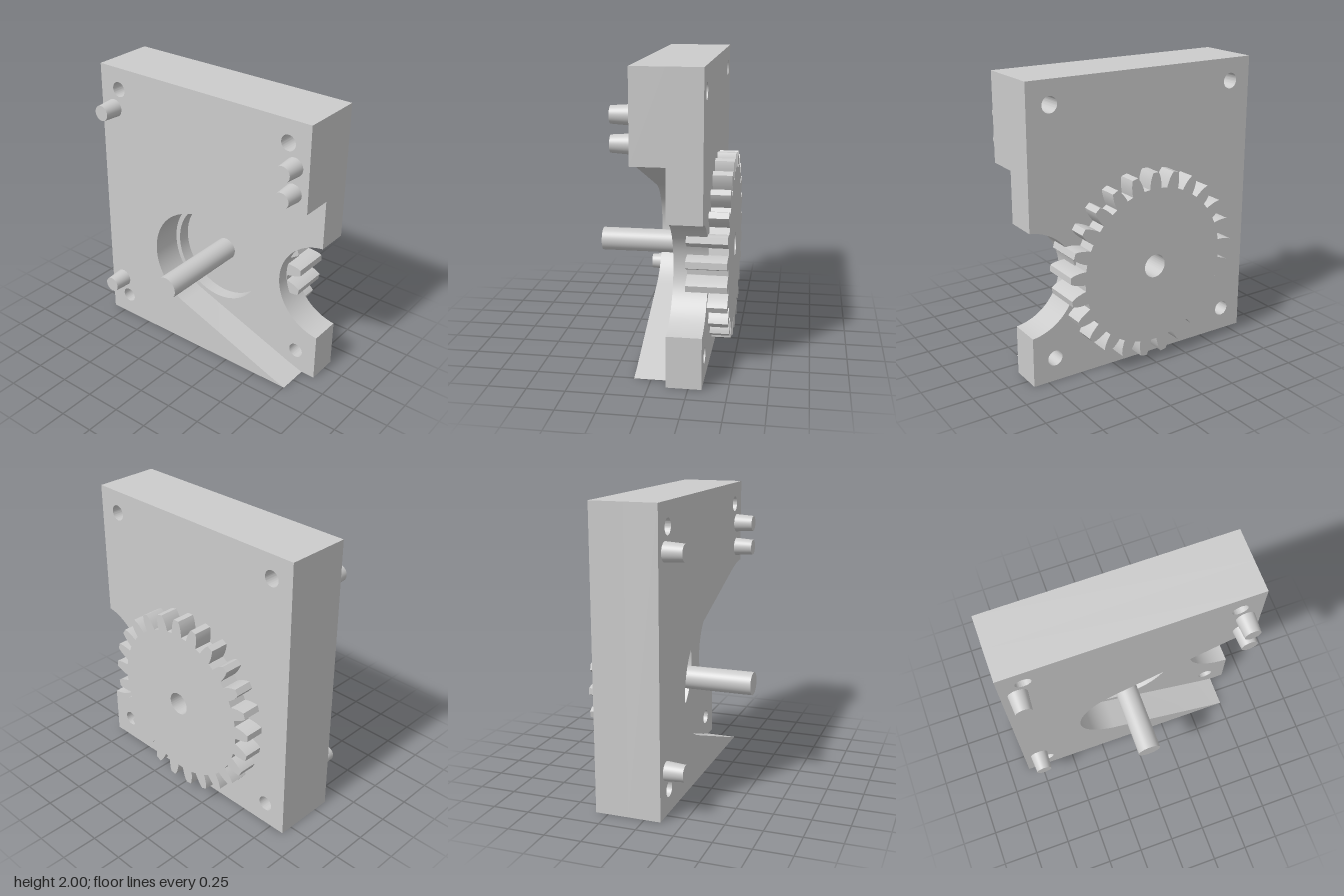
import * as THREE from 'three';
import { toCreasedNormals } from 'three/addons/utils/BufferGeometryUtils.js';

const HALF_W = 0.855, HEIGHT = 2, AXIS_Y = 0.7;
const FRONT = 0.11, STEP = -0.11, BACK = -0.335;     // z levels of the housing
const GEAR_FRONT = -0.2, GEAR_BACK = -0.465, SHAFT_TIP = 0.465;
const MATE_X = 0.89;                                 // centre of the open side recess

const material = new THREE.MeshStandardMaterial({ color: 0xcccccc });

function addMesh(parent, name, geometry) {
  const mesh = new THREE.Mesh(geometry, material);
  mesh.name = name;
  parent.add(mesh);
  return mesh;
}

function slab(shape, zBack, zFront) {
  const g = new THREE.ExtrudeGeometry(shape, {
    depth: zFront - zBack, bevelEnabled: false, curveSegments: 40,
  });
  g.translate(0, 0, zBack);
  return toCreasedNormals(g, 0.35);
}

function addHole(shape, x, y, r) {
  shape.holes.push(new THREE.Path().absarc(x, y, r, 0, Math.PI * 2, true));
}

// Cylinder along z from the back radius to the front radius
function rod(rBack, rFront, zBack, zFront) {
  const g = new THREE.CylinderGeometry(rFront, rBack, zFront - zBack, 40);
  g.rotateX(Math.PI / 2);
  return g.translate(0, 0, (zBack + zFront) / 2);
}

// Front layer, cut by a flared recess that opens on the +x side
function frontLayer() {
  const r = 0.395, R = 0.708;
  const tilt = Math.asin((R - r) / MATE_X);
  const a = Math.PI / 2 + tilt;                      // tangent direction on both arcs
  const s = new THREE.Shape();
  s.moveTo(-HALF_W, 0);
  s.lineTo(0.755, 0);
  s.lineTo(MATE_X + R * Math.cos(a), AXIS_Y - R * Math.sin(a));
  s.absarc(0, AXIS_Y, r, -a, a - Math.PI * 2, true);
  s.absarc(MATE_X, AXIS_Y, R, a, Math.acos((HALF_W - MATE_X) / R), true);
  s.lineTo(HALF_W, HEIGHT);
  s.lineTo(-HALF_W, HEIGHT);
  s.closePath();
  for (const [x, y] of [[-0.695, 0.163], [-0.695, 1.845], [0.695, 1.845]]) addHole(s, x, y, 0.053);
  return slab(s, STEP, FRONT);
}

// Back layer with the round side notch and the round well
function backLayer() {
  const r = 0.36, a = Math.acos((HALF_W - MATE_X) / r);
  const s = new THREE.Shape();
  s.moveTo(-HALF_W, 0);
  s.lineTo(HALF_W, 0);
  s.absarc(MATE_X, AXIS_Y, r, -a, a - Math.PI * 2, true);
  s.lineTo(HALF_W, HEIGHT);
  s.lineTo(-HALF_W, HEIGHT);
  s.closePath();
  for (const x of [-0.695, 0.695]) for (const y of [0.163, 1.845]) addHole(s, x, y, 0.053);
  addHole(s, 0, AXIS_Y, r);
  return slab(s, BACK, STEP);
}

// Spur gear: each tooth is a rounded flank profile mirrored about its centre line
function gear() {
  const teeth = 25, pitch = (Math.PI * 2) / teeth;
  const flank = [[0.537, 4.8], [0.56, 4.5], [0.597, 3.7], [0.625, 2.8], [0.645, 1.9]];
  const profile = [
    ...flank.map(([r, d]) => [r, -d]),
    ...flank.slice().reverse(),
  ];
  const points = [];
  for (let i = 0; i < teeth; i++) {
    for (const [r, d] of profile) {
      const t = Math.PI / 2 + i * pitch + THREE.MathUtils.degToRad(d);
      points.push(new THREE.Vector2(r * Math.cos(t), AXIS_Y + r * Math.sin(t)));
    }
  }
  const s = new THREE.Shape(points);
  addHole(s, 0, AXIS_Y, 0.08);
  return slab(s, GEAR_BACK, GEAR_FRONT);
}

export function createModel() {
  const model = new THREE.Group();
  model.name = 'gearHousing';

  const housing = new THREE.Group();
  housing.name = 'housing';
  model.add(housing);
  addMesh(housing, 'frontLayer', frontLayer());
  addMesh(housing, 'backLayer', backLayer());

  addMesh(model, 'gear', gear());
  addMesh(model, 'shaft', rod(0.08, 0.08, GEAR_FRONT, SHAFT_TIP)).position.y = AXIS_Y;

  // Tapered locating pegs
  const pegs = new THREE.Group();
  pegs.name = 'locatingPegs';
  model.add(pegs);
  for (const [x, y] of [[-0.745, 1.7], [0.745, 1.7], [0.745, 1.523], [-0.745, 0.305]]) {
    addMesh(pegs, 'peg', rod(0.064, 0.055, FRONT, 0.24)).position.set(x, y, 0);
  }
  return model;
}
